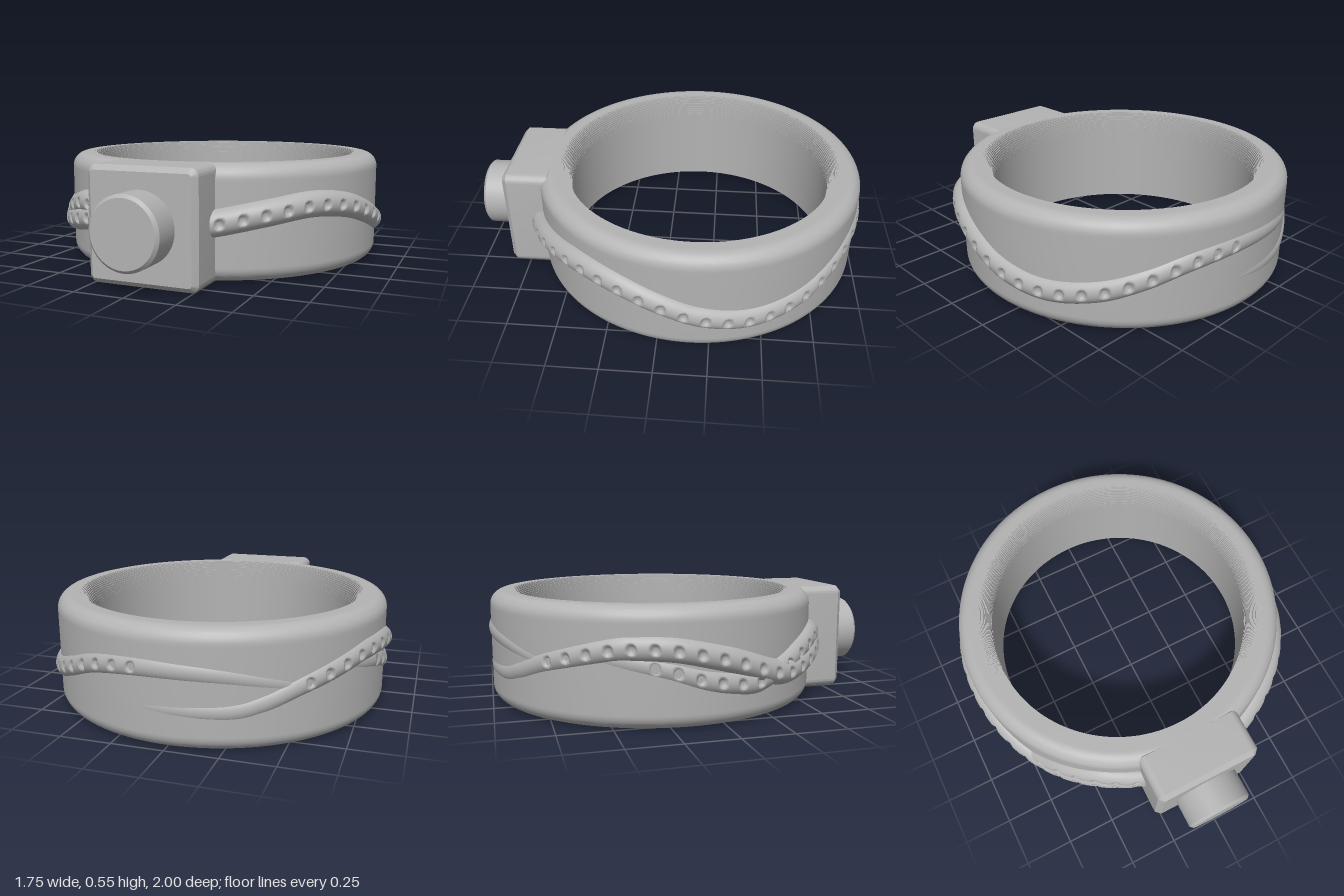
import * as THREE from 'three';
import { toCreasedNormals } from 'three/addons/utils/BufferGeometryUtils.js';

const metal = new THREE.MeshStandardMaterial({ color: 0xb3b3b3 });
metal.name = 'grey metal';

const CZ = -0.153;      // ring axis position in z
const H = 0.55;         // ring height
const R_OUT = 0.84, R_IN = 0.675;

function add(group, name, geometry) {
  const mesh = new THREE.Mesh(geometry, metal);
  mesh.name = name;
  group.add(mesh);
  return mesh;
}

// Band: rounded outer edges, finely stepped inner edges
function bandGeometry() {
  const fillet = 0.07, steps = 14, stepW = 0.05, stepH = 0.12;
  const upper = [];                       // from outer wall, over the top, to inner wall
  upper.push([R_OUT, H - fillet - 0.01]);
  for (let i = 0; i <= 10; i++) {
    const a = (i / 10) * Math.PI / 2;
    upper.push([R_OUT - fillet + fillet * Math.cos(a), H - fillet + fillet * Math.sin(a)]);
  }
  upper.push([R_OUT - fillet - 0.01, H]);
  let y = H;
  for (let i = 0; i <= steps; i++) {
    const a = (i / steps) * Math.PI / 2;
    const r = R_IN + stepW * (1 - Math.sin(a));
    upper.push([r, y]);
    y = H - stepH * (1 - Math.cos((Math.min(i + 1, steps) / steps) * Math.PI / 2));
    upper.push([r, y]);
  }
  const lower = upper.map(([r, v]) => [r, H - v]).reverse();
  const loop = [...upper, ...lower, upper[0]]
    .map(([r, v]) => new THREE.Vector2(r, v))
    .filter((p, i, all) => i === 0 || p.distanceTo(all[i - 1]) > 1e-5);
  return toCreasedNormals(new THREE.LatheGeometry(loop, 144), 0.5);
}

// Vine: half-round strand sinking into the band, with a row of round dimples.
// path holds [degrees from the front, height]; side is +1 or -1 in x.
function vineGeometry(path, side, lastDimple) {
  const rho = 0.065, dimpleR = 0.024, dimpleDepth = 0.019, across = 28;
  const end = path[path.length - 1][0];
  const curve = new THREE.SplineCurve(path.map(([d, y]) => new THREE.Vector2(d, y)));
  const n = Math.round((end - path[0][0]) / 0.4);
  const rows = curve.getSpacedPoints(n);
  const dimples = rows.filter((p, i) => i % 17 === 14 && p.x < lastDimple);
  const pos = [], index = [];
  rows.forEach((p, i) => {
    const t = THREE.MathUtils.degToRad(p.x);
    const centre = R_OUT - rho + 0.07 * Math.pow(Math.max(0, 1 - p.x / end), 1.2);
    const near = dimples.filter((d) => Math.abs(d.x - p.x) < 3);
    for (let j = 0; j <= across; j++) {
      const a = THREE.MathUtils.degToRad(-100 + 200 * j / across);
      const y = p.y + rho * Math.sin(a);
      let r = centre + rho * Math.cos(a);
      for (const d of near) {
        const q = Math.hypot(0.88 * THREE.MathUtils.degToRad(p.x - d.x), y - d.y) / dimpleR;
        if (q < 1 && Math.cos(a) > 0) r -= dimpleDepth * Math.sqrt(1 - q * q);
      }
      pos.push(side * r * Math.sin(t), y, CZ + r * Math.cos(t));
      if (i < n && j < across) {
        const k = i * (across + 1) + j, m = k + across + 1;
        if (side > 0) index.push(k, m, m + 1, k, m + 1, k + 1);
        else index.push(k, m + 1, m, k, k + 1, m + 1);
      }
    }
  });
  const g = new THREE.BufferGeometry();
  g.setAttribute('position', new THREE.Float32BufferAttribute(pos, 3));
  g.setIndex(index);
  g.computeVertexNormals();
  return g;
}

// Square block with rounded corners and a chamfered front
function blockGeometry() {
  const s = 0.25, c = 0.015, bevel = 0.025;
  const shape = new THREE.Shape();
  shape.moveTo(-s + c, -s);
  shape.lineTo(s - c, -s).absarc(s - c, -s + c, c, -Math.PI / 2, 0, false);
  shape.lineTo(s, s - c).absarc(s - c, s - c, c, 0, Math.PI / 2, false);
  shape.lineTo(-s + c, s).absarc(-s + c, s - c, c, Math.PI / 2, Math.PI, false);
  shape.lineTo(-s, -s + c).absarc(-s + c, -s + c, c, Math.PI, Math.PI * 1.5, false);
  const g = new THREE.ExtrudeGeometry(shape, {
    depth: 0.21, bevelEnabled: true, bevelSize: bevel, bevelThickness: bevel,
    bevelSegments: 1, curveSegments: 6,
  });
  return toCreasedNormals(g, 0.5);
}

export function createModel() {
  const model = new THREE.Group();
  model.name = 'ring';

  add(model, 'band', bandGeometry()).position.z = CZ;
  add(model, 'frontBlock', blockGeometry()).position.set(0, H / 2, 0.61);

  // Round stud on the block, with a small chamfer at its rim
  const profile = [[0.172, 0], [0.172, 0.14], [0.157, 0.155], [0, 0.155]]
    .map(([r, y]) => new THREE.Vector2(r, y));
  const stud = add(model, 'stud', toCreasedNormals(new THREE.LatheGeometry(profile, 64), 0.5));
  stud.rotation.x = Math.PI / 2;
  stud.position.set(0, H / 2, 0.845);

  // Three wavy strands wrapping from the block to the back
  add(model, 'leftVine', vineGeometry([
    [15, 0.275], [20, 0.285], [35, 0.325], [51, 0.355], [66, 0.333], [80, 0.275], [94, 0.21],
    [110, 0.18], [127, 0.21], [141, 0.27], [155, 0.335], [170, 0.362], [185, 0.36],
    [200, 0.34], [218, 0.29], [228, 0.26],
  ], 1, 174));
  add(model, 'rightVineUpper', vineGeometry([
    [15, 0.275], [21, 0.27], [35, 0.24], [48, 0.21], [55, 0.203], [62, 0.22], [72, 0.27],
    [80, 0.307], [95, 0.357], [107, 0.367], [117, 0.355], [137, 0.285], [150, 0.22],
    [162, 0.185], [188, 0.19],
  ], -1, 141));
  add(model, 'rightVineLower', vineGeometry([
    [15, 0.31], [28, 0.325], [35, 0.32], [48, 0.275], [56, 0.235], [68, 0.185], [78, 0.195],
    [87, 0.22], [96, 0.26], [104, 0.285], [122, 0.33],
  ], -1, 106));

  return model;
}
